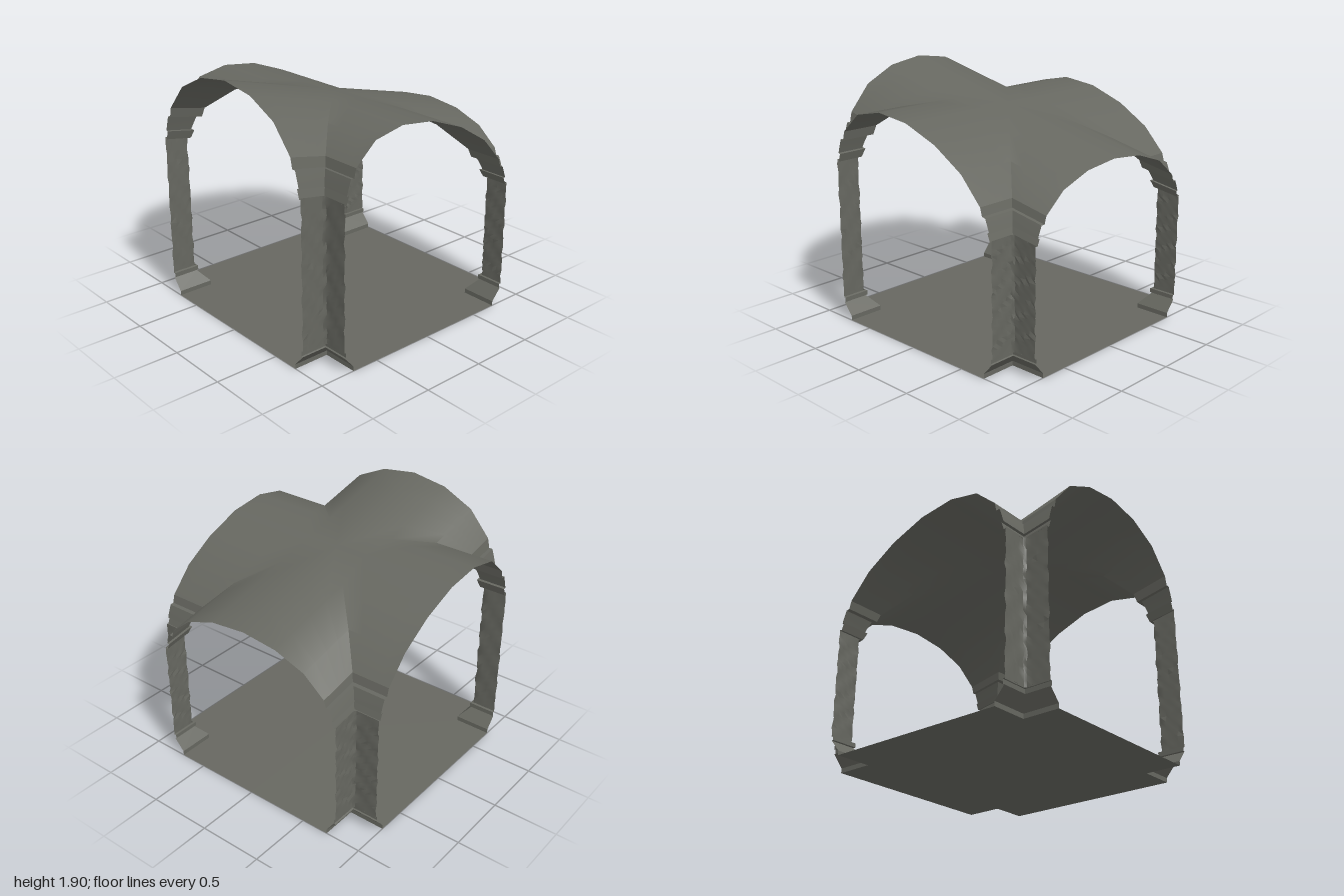
import * as THREE from 'three';
import { mergeGeometries, toCreasedNormals } from 'three/addons/utils/BufferGeometryUtils.js';

const CORNERS = [[1, 1], [-1, 1], [-1, -1], [1, -1]];

// The vault climbs towards -x: heights grow with distance from the floor.
function slope(x, y, z) {
  const lift = Math.max(0, (y - 0.15) / 1.5);
  return [x - 0.015 * lift * (1 - x * x), y - 0.25 * x * lift, z];
}

// L-shaped path round one corner, at distance d from both centre lines.
function lPath(d, steps, round) {
  const leg = [];
  for (let i = 0; i <= steps; i++) leg.push([1 + (d + round - 1) * i / steps, d]);
  const other = leg.map(([a, b]) => [b, a]).reverse();
  if (round === 0) other.shift();
  return [...leg, ...other];
}

// Sweep a profile of [d, y] points round the given corner.
function sweepCorner(profile, [sx, sz], { steps = 1, round = 0, bump = null } = {}) {
  const positions = [], index = [];
  let cols = 0;
  profile.forEach(([d, y]) => {
    const path = lPath(d, steps, round);
    cols = path.length;
    path.forEach(([px, pz], i) => {
      const b = bump ? bump(y, i, sx + 2 * sz) : 0;
      const onFirstLeg = i < cols / 2;
      const x = px + (onFirstLeg ? 0 : b), z = pz + (onFirstLeg ? b : 0);
      positions.push(...slope(x * sx, y, z * sz));
    });
  });
  for (let r = 0; r < profile.length - 1; r++) {
    for (let c = 0; c < cols - 1; c++) {
      const a = r * cols + c, b = a + 1, e = a + cols, f = e + 1;
      if (sx * sz > 0) index.push(a, b, f, a, f, e);
      else index.push(a, f, b, a, e, f);
    }
  }
  const geometry = new THREE.BufferGeometry();
  geometry.setAttribute('position', new THREE.Float32BufferAttribute(positions, 3));
  geometry.setIndex(index);
  return geometry;
}

// Uneven stone surface, fading out at both ends of the shaft
const stoneBump = (y, i, seed) =>
  0.005 * (Math.sin(y * 31 + i * 1.7 + seed * 2.3) + Math.sin(y * 57 + i * 2.9 + seed))
  * Math.min(1, (y - 0.16) * 12, (1.13 - y) * 12);

export function createModel() {
  const model = new THREE.Group();
  model.name = 'groinVaultBay';
  const stone = new THREE.MeshStandardMaterial({ color: 0x666760, side: THREE.DoubleSide });
  stone.name = 'greyStone';

  const add = (parent, name, geometry, crease) => {
    const mesh = new THREE.Mesh(toCreasedNormals(geometry, crease), stone);
    mesh.name = name;
    parent.add(mesh);
  };

  const baseProfile = [[0.717, 0], [0.717, 0.035], [0.795, 0.125], [0.785, 0.13], [0.785, 0.163], [0.8, 0.168]];
  const capitalProfile = [[0.8, 1.12], [0.784, 1.117], [0.763, 1.175], [0.78, 1.178],
    [0.765, 1.225], [0.745, 1.28], [0.717, 1.28], [0.7, 1.345]];
  const vaultProfile = [[0.7, 1.345], [0.53, 1.513], [0.285, 1.614], [0, 1.65]];
  const shaftProfile = [];
  for (let i = 0; i <= 24; i++) shaftProfile.push([0.8, 0.16 + 0.97 * i / 24]);

  // Four corner piers, open towards the outside
  CORNERS.forEach((corner) => {
    const pier = new THREE.Group();
    pier.name = (corner[1] > 0 ? 'front' : 'back') + (corner[0] > 0 ? 'Left' : 'Right') + 'Pier';
    add(pier, 'base', sweepCorner(baseProfile, corner), 0.4);
    add(pier, 'shaft', sweepCorner(shaftProfile, corner, { steps: 4, round: 0.015, bump: stoneBump }), 0.7);
    add(pier, 'capital', sweepCorner(capitalProfile, corner), 0.4);
    model.add(pier);
  });

  // Crossing barrel vaults, with groins that fade towards the crown
  const vault = CORNERS.map((c) => sweepCorner(vaultProfile, c, { steps: 4 }));
  add(model, 'vault', mergeGeometries(vault), 0.62);

  // Cross-shaped floor between the pier bases
  const floor = CORNERS.map((c) => sweepCorner([[0.717, 0], [0, 0]], c));
  add(model, 'floor', mergeGeometries(floor), 0.4);

  return model;
}
